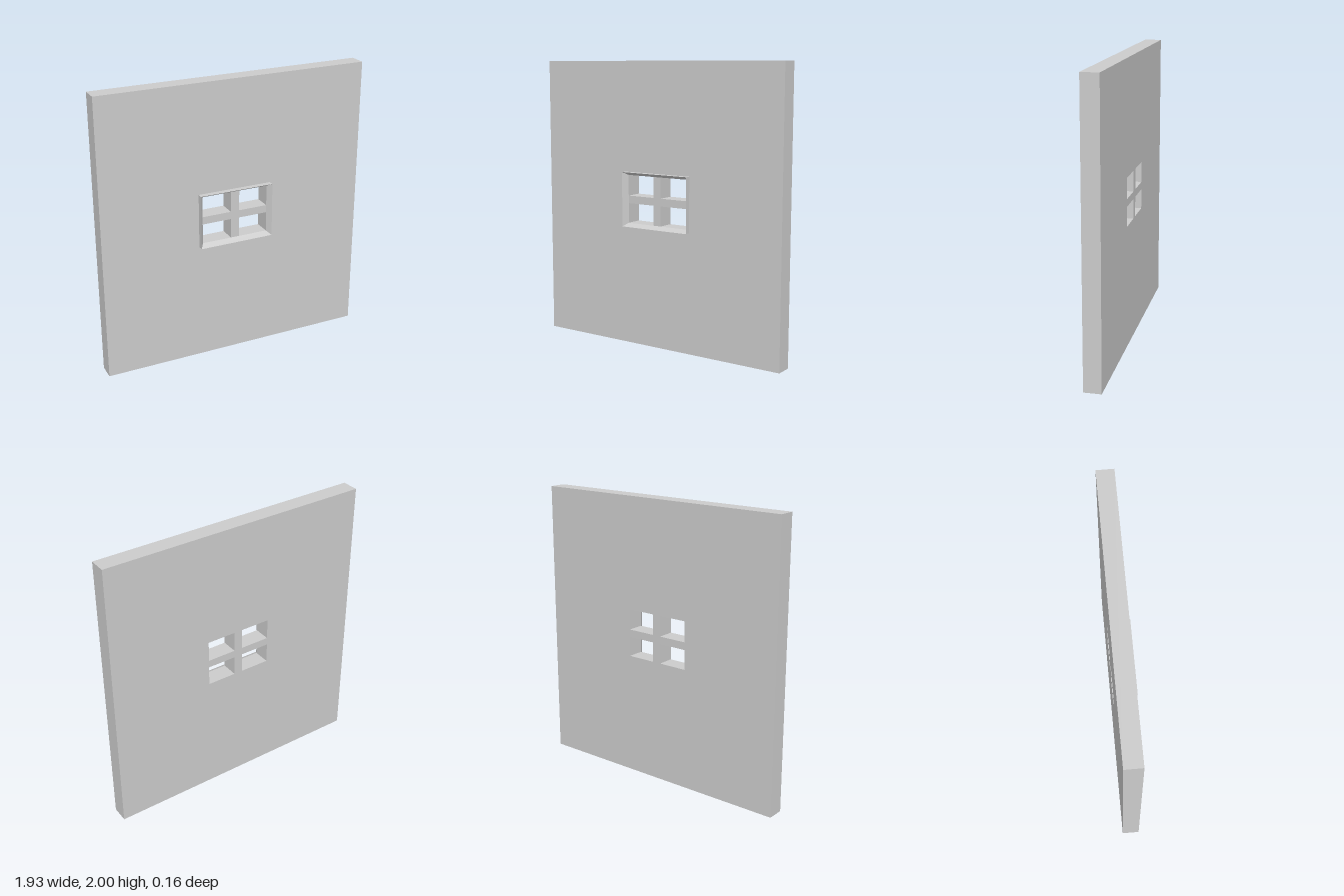
import * as THREE from 'three';

const WALL_BACK = -0.08, WALL_FRONT = 0.04, FRAME_FRONT = 0.08;

// Corners of a rectangle, counter-clockwise seen from the front
const rect = (x0, x1, y0, y1) => [[x0, y0], [x1, y0], [x1, y1], [x0, y1]];
const toPoints = (corners) => corners.map(([x, y]) => new THREE.Vector2(x, y));

// Joins rectangular loops { corners, z } into flat-sided bands
function loftLoops(loops) {
  const pos = [];
  for (let l = 0; l < loops.length - 1; l++) {
    const a = loops[l], b = loops[l + 1];
    for (let i = 0; i < 4; i++) {
      const j = (i + 1) % 4;
      const a0 = [...a.corners[i], a.z], a1 = [...a.corners[j], a.z];
      const b0 = [...b.corners[i], b.z], b1 = [...b.corners[j], b.z];
      pos.push(...a0, ...a1, ...b1, ...a0, ...b1, ...b0);
    }
  }
  const geometry = new THREE.BufferGeometry();
  geometry.setAttribute('position', new THREE.Float32BufferAttribute(pos, 3));
  geometry.computeVertexNormals();
  return geometry;
}

export function createModel() {
  const group = new THREE.Group();
  const material = new THREE.MeshStandardMaterial({ color: 0xcccccc, flatShading: true });
  const add = (name, geometry) => {
    const mesh = new THREE.Mesh(geometry, material);
    mesh.name = name;
    group.add(mesh);
  };

  // Wall slab pierced by four panes; what remains between them is the cross bars
  const shape = new THREE.Shape(toPoints(rect(-0.966, 0.966, 0, 2)));
  for (const [x0, x1] of [[-0.246, -0.034], [0.029, 0.238]]) {
    for (const [y0, y1] of [[0.87, 1.01], [1.064, 1.21]]) {
      shape.holes.push(new THREE.Path(toPoints(rect(x0, x1, y0, y1)).reverse()));
    }
  }
  const wall = new THREE.ExtrudeGeometry(shape, { depth: WALL_FRONT - WALL_BACK, bevelEnabled: false });
  wall.translate(0, 0, WALL_BACK);
  add('wallWithWindowBars', wall);

  // Raised frame: straight outside, sloping inward to the panes
  const outer = rect(-0.273, 0.263, 0.847, 1.232);
  const inner = rect(-0.246, 0.238, 0.87, 1.21);
  add('windowFrame', loftLoops([
    { corners: outer, z: WALL_FRONT },
    { corners: outer, z: FRAME_FRONT },
    { corners: inner, z: WALL_FRONT },
  ]));

  return group;
}
